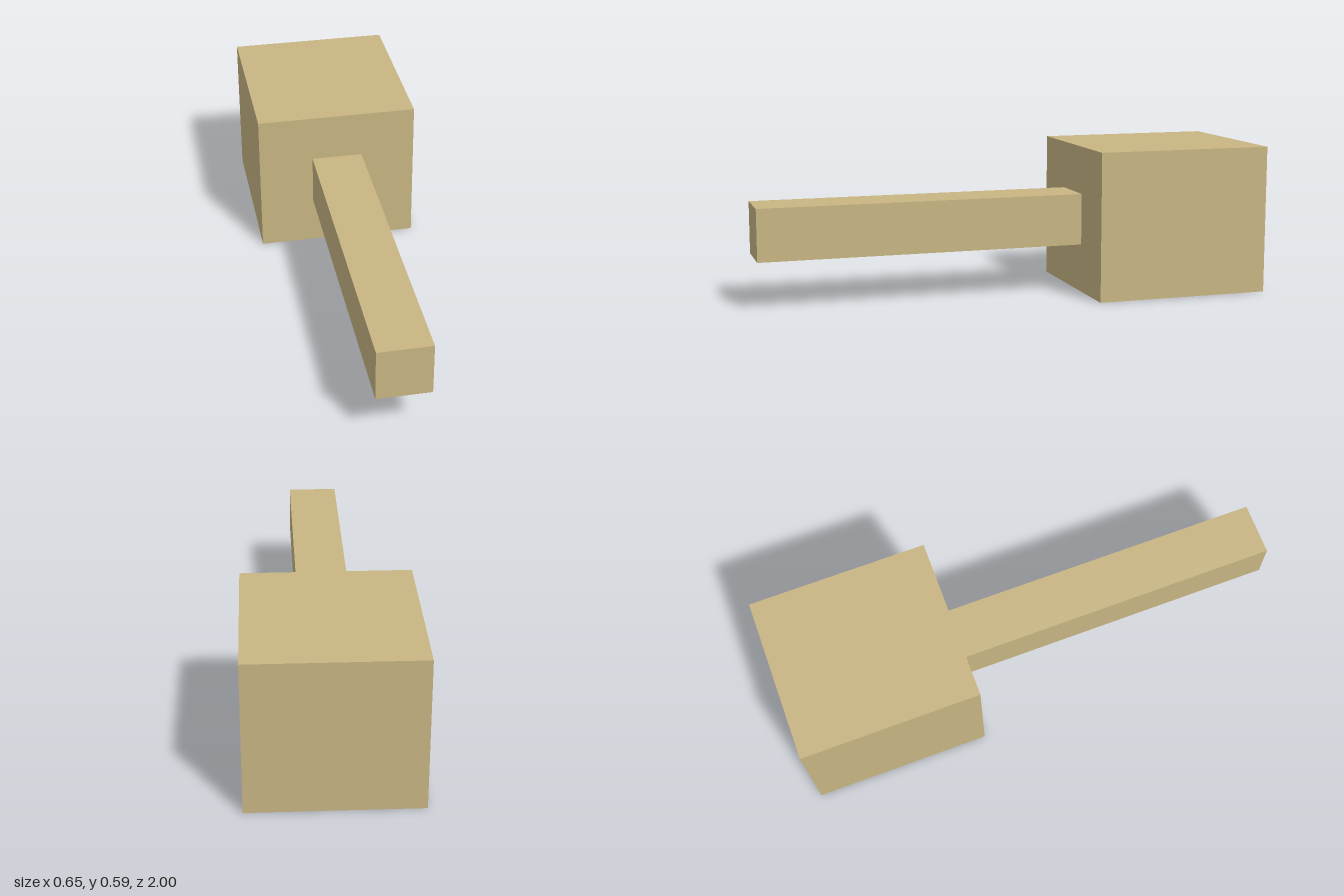
import * as THREE from 'three';

const wood = new THREE.MeshStandardMaterial({ color: 0xc8b583 });
wood.name = 'paleWood';

// Box given by its minimum and maximum corners
function box(name, min, max) {
  const size = max.map((v, i) => v - min[i]);
  const mesh = new THREE.Mesh(new THREE.BoxGeometry(...size), wood);
  mesh.position.set(...max.map((v, i) => (v + min[i]) / 2));
  mesh.name = name;
  return mesh;
}

export function createModel() {
  const model = new THREE.Group();
  model.name = 'mallet';

  // Heavy block at the back, square handle reaching forward from it
  model.add(box('head', [-0.323, 0, -1], [0.323, 0.588, -0.296]));
  model.add(box('handle', [-0.103, 0.193, -0.296], [0.103, 0.398, 1]));

  return model;
}
